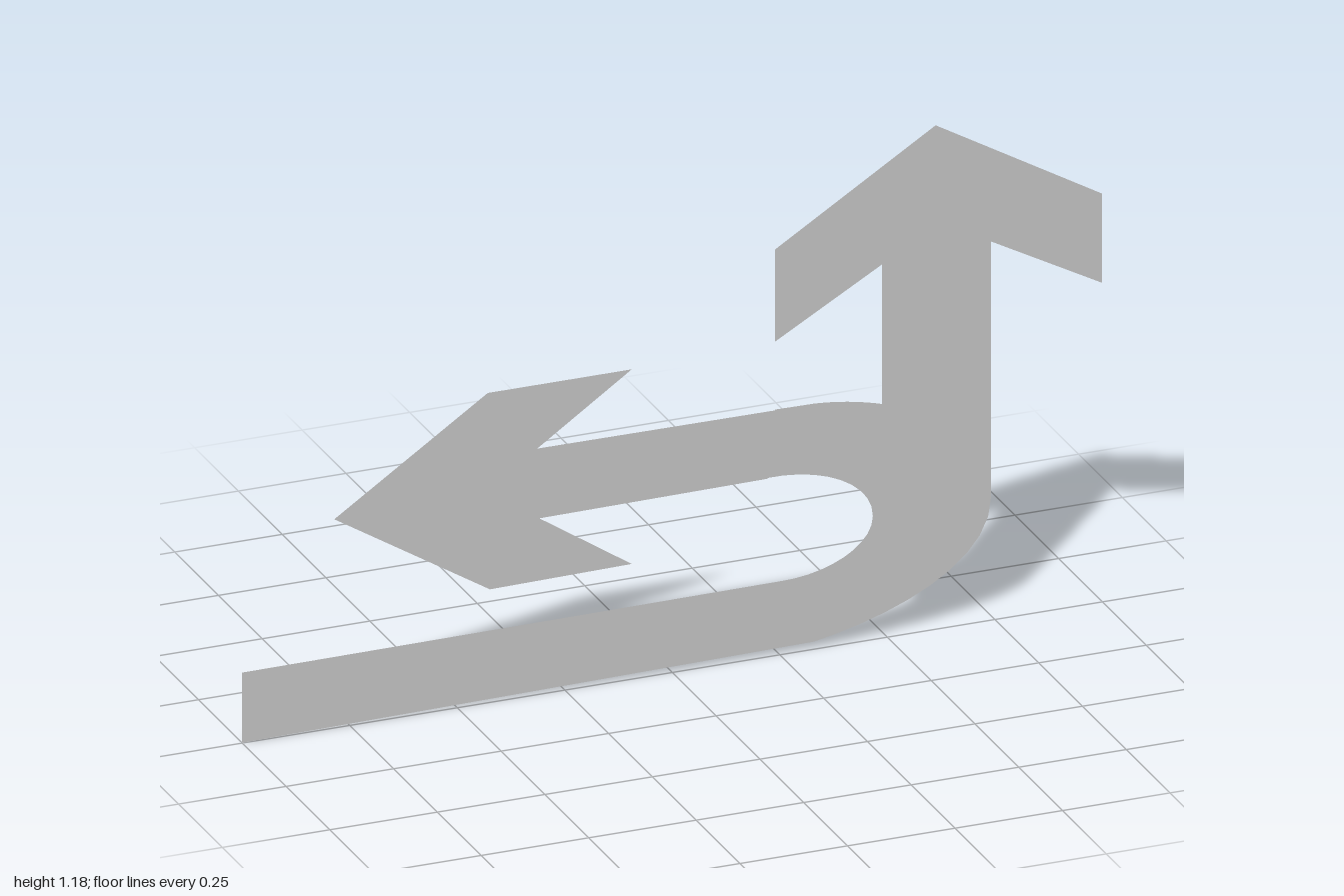
import * as THREE from 'three';

const material = new THREE.MeshStandardMaterial({ color: 0xcccccc, side: THREE.DoubleSide });

// Flat sheet from an outline at a given depth
function sheet(name, shape, z) {
  const mesh = new THREE.Mesh(new THREE.ShapeGeometry(shape, 10), material);
  mesh.name = name;
  mesh.position.z = z;
  return mesh;
}

function lines(shape, points) {
  for (const [x, y] of points) shape.lineTo(x, y);
}

export function createModel() {
  const group = new THREE.Group();
  group.name = 'forkedArrow';

  // Lane that bends up into the upward arrow, with the stub of the U-turn
  const lane = new THREE.Shape();
  lane.moveTo(-1, 0);
  lane.lineTo(0.33, 0.017);
  lane.bezierCurveTo(0.5, 0.045, 0.742, 0.13, 0.742, 0.29);
  lines(lane, [[0.742, 0.89], [1, 0.75], [1, 0.96], [0.613, 1.185],
    [0.24, 0.955], [0.24, 0.738], [0.488, 0.878], [0.488, 0.55]]);
  lane.quadraticCurveTo(0.41, 0.573, 0.33, 0.577);
  lines(lane, [[0.24, 0.578], [0.22, 0.42]]);
  lane.bezierCurveTo(0.35, 0.425, 0.467, 0.37, 0.467, 0.29);
  lane.bezierCurveTo(0.467, 0.22, 0.36, 0.17, 0.25, 0.172);
  lane.lineTo(-1, 0.165);
  lane.closePath();
  group.add(sheet('bentLaneWithUpArrow', lane, -0.002));

  // Returning arrow that points left
  const back = new THREE.Shape();
  back.moveTo(0.24, 0.578);
  lines(back, [[-0.315, 0.58], [-0.095, 0.73], [-0.43, 0.73], [-0.787, 0.492],
    [-0.425, 0.267], [-0.095, 0.272], [-0.31, 0.415], [0.22, 0.42]]);
  back.closePath();
  group.add(sheet('leftArrow', back, 0.002));

  return group;
}
